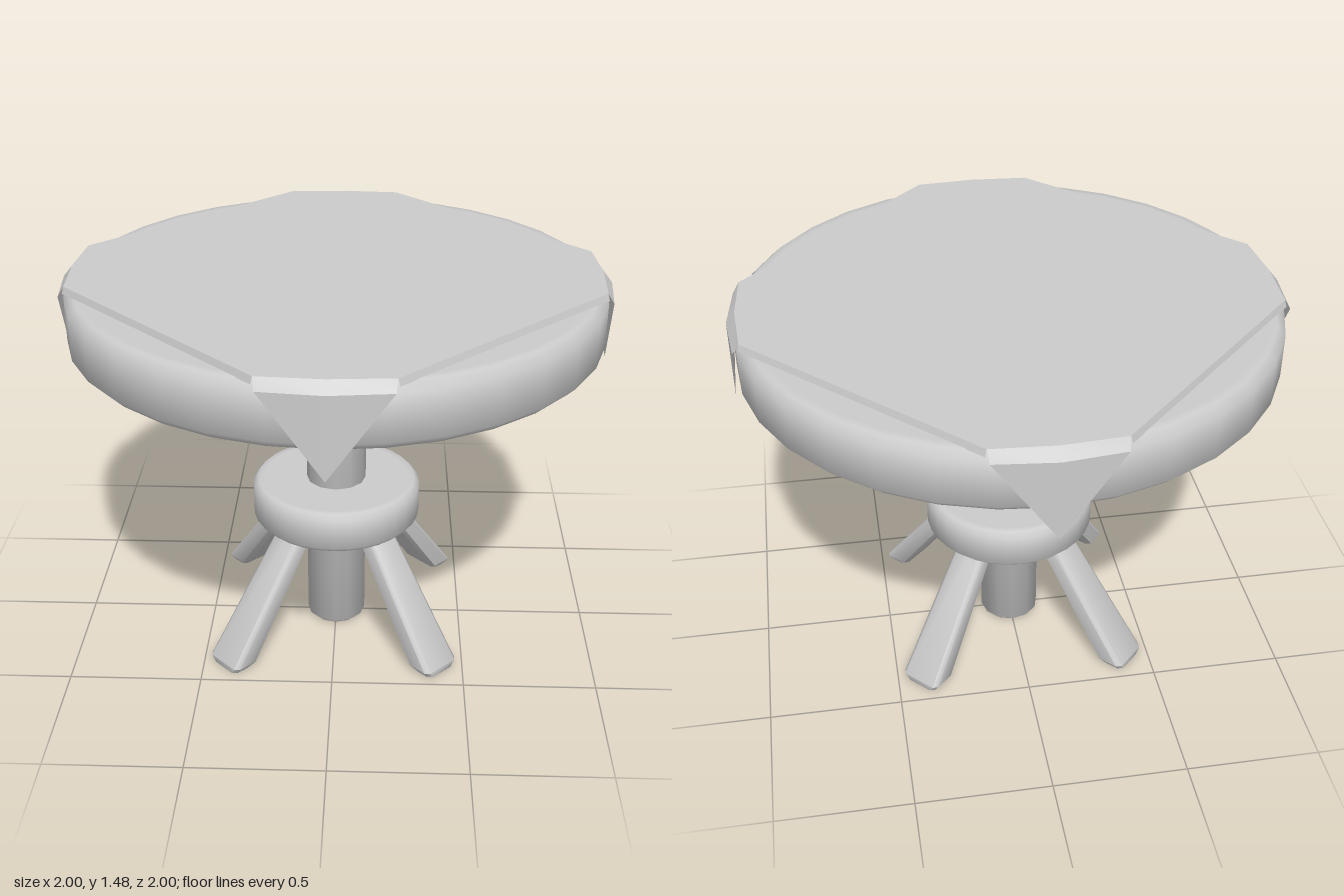
import * as THREE from 'three';
import { toCreasedNormals } from 'three/addons/utils/BufferGeometryUtils.js';

const material = new THREE.MeshStandardMaterial({ color: 0xcccccc, side: THREE.DoubleSide });

function part(name, geometry, crease = 0.9) {
  const mesh = new THREE.Mesh(toCreasedNormals(geometry, crease), material);
  mesh.name = name;
  return mesh;
}

// Round part from [radius, height] pairs, listed bottom to top
function turned(name, profile, segments) {
  const points = profile.map(([r, y]) => new THREE.Vector2(r, y));
  return part(name, new THREE.LatheGeometry(points, segments));
}

// Geometry from a list of triangles, each three [x, y, z] corners
function fromTriangles(triangles) {
  const geometry = new THREE.BufferGeometry();
  geometry.setAttribute('position', new THREE.Float32BufferAttribute(triangles.flat(2), 3));
  return geometry;
}

// Splits a quad given counter-clockwise from outside
const quad = (a, b, c, d) => [[a, b, c], [a, c, d]];

// Tapered, splayed leg leaning out along +x, open at both ends
function legGeometry() {
  // height, radial centre, radial thickness, sideways width
  const sections = [
    [0, 0.555, 0.08, 0.13],
    [0.025, 0.542, 0.11, 0.165],
    [0.605, 0.11, 0.085, 0.115],
  ];
  const rings = sections.map(([y, centre, thick, wide]) => {
    const r = thick / 2, w = wide / 2, c = 0.016;
    return [[r, w - c], [r - c, w], [c - r, w], [-r, w - c],
      [-r, c - w], [c - r, -w], [r - c, -w], [r, c - w]]
      .map(([x, z]) => [centre + x, y, z]);
  });
  const triangles = [];
  for (let s = 0; s < rings.length - 1; s++) {
    for (let i = 0; i < 8; i++) {
      const j = (i + 1) % 8;
      triangles.push(...quad(rings[s + 1][i], rings[s + 1][j], rings[s][j], rings[s][i]));
    }
  }
  return fromTriangles(triangles);
}

// One quarter of the cloth: top wedge, folded corner on +x and edge towards +z
function clothQuarter() {
  const top = 1.48, fold = 1.44, edge = 1.455;
  const centre = [0, top, 0];
  const left = [0.95, top, 0.22], mid = [0.965, top, 0], right = [0.95, top, -0.22];
  const foldLeft = [0.975, fold, 0.215], foldMid = [0.998, fold, 0], foldRight = [0.975, fold, -0.215];
  const tip = [0.998, 1.145, 0];
  const next = [0.22, top, 0.95];
  const lower = ([x, , z]) => [x + 0.006, edge, z + 0.006];
  return [
    [centre, left, mid], [centre, mid, right], [centre, next, left],
    ...quad(left, foldLeft, foldMid, mid),
    ...quad(mid, foldMid, foldRight, right),
    [foldLeft, tip, foldMid], [foldMid, tip, foldRight],
    ...quad(next, lower(next), lower(left), left),
  ];
}

export function createModel() {
  const model = new THREE.Group();
  model.name = 'table';

  // Hollow tabletop, open underneath
  model.add(turned('tabletop', [
    [0.95, 1.235], [0.98, 1.265], [0.98, 1.43], [0.95, 1.457], [0.92, 1.457], [0, 1.457],
  ], 32));

  // Central post and hollow collar
  model.add(turned('post', [[0.1, 0], [0.115, 0.015], [0.115, 1.455]], 12));
  model.add(turned('collar', [
    [0.305, 0.465], [0.325, 0.485], [0.325, 0.605], [0.305, 0.625], [0.28, 0.625], [0.1, 0.625],
  ], 32));

  // Four diagonal legs
  const leg = legGeometry();
  for (let i = 0; i < 4; i++) {
    const mesh = part('leg', leg);
    mesh.rotation.y = Math.PI / 4 + i * Math.PI / 2;
    model.add(mesh);
  }

  // Square cloth with four hanging corners
  const quarter = clothQuarter();
  const cloth = new THREE.Group();
  cloth.name = 'tablecloth';
  for (let i = 0; i < 4; i++) {
    const mesh = part('clothQuarter', fromTriangles(quarter), 0.5);
    mesh.rotation.y = i * Math.PI / 2;
    cloth.add(mesh);
  }
  model.add(cloth);

  return model;
}
